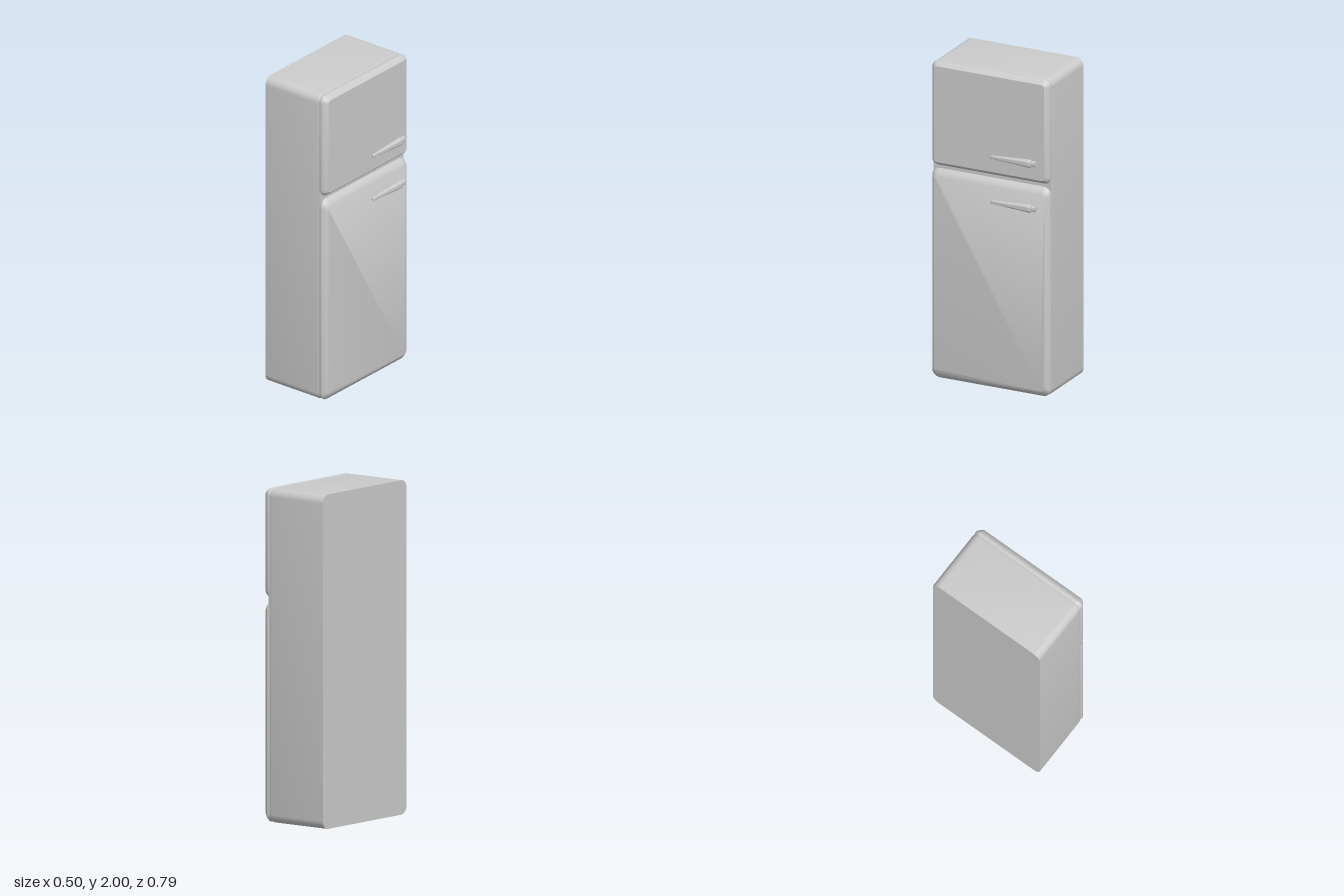
import * as THREE from 'three';
import { toCreasedNormals } from 'three/addons/utils/BufferGeometryUtils.js';

const material = new THREE.MeshStandardMaterial({ color: 0xcccccc });
const HALF_WIDTH = 0.394;

// Rounded rectangle facing +x, counter-clockwise seen from the front
function roundedRing(x, y0, y1, radius, insetZ, insetY) {
  const r = Math.max(radius - insetZ, 0.012);
  const w = HALF_WIDTH - insetZ;
  const bottom = y0 + insetY, top = y1 - insetY;
  const corners = [[w - r, bottom + r, -0.5], [w - r, top - r, 0], [-w + r, top - r, 0.5], [-w + r, bottom + r, 1]];
  const ring = [], steps = 6;
  for (const [u, v, start] of corners) {
    for (let i = 0; i <= steps; i++) {
      const a = Math.PI * (start + 0.5 * i / steps);
      ring.push([x, v + r * Math.sin(a), -(u + r * Math.cos(a))]);
    }
  }
  return ring;
}

// Skin a stack of rings from back to front, closing both ends
function loft(rings) {
  const n = rings[0].length;
  const last = (rings.length - 1) * n;
  const positions = rings.flat(2);
  const index = [];
  for (let i = 0; i < rings.length - 1; i++) {
    for (let j = 0; j < n; j++) {
      const k = (j + 1) % n;
      const a = i * n + j, b = i * n + k, c = b + n, d = a + n;
      index.push(a, b, c, a, c, d);
    }
  }
  for (let j = 1; j < n - 1; j++) {
    index.push(0, j + 1, j);
    index.push(last, last + j, last + j + 1);
  }
  const geometry = new THREE.BufferGeometry();
  geometry.setAttribute('position', new THREE.Float32BufferAttribute(positions, 3));
  geometry.setIndex(index);
  return toCreasedNormals(geometry, 0.65);
}

function addMesh(parent, geometry, name) {
  const mesh = new THREE.Mesh(geometry, material);
  mesh.name = name;
  parent.add(mesh);
  return mesh;
}

// Door with a softly bevelled rim; yScale stretches the bevel vertically
function makeDoor(y0, y1, radius, yScale) {
  const profile = [[0.153, 0.005], [0.162, 0.002], [0.172, 0], [0.183, 0.005], [0.196, 0.015], [0.207, 0.027]];
  return loft(profile.map(([x, inset]) => roundedRing(x, y0, y1, radius, inset, inset * yScale)));
}

// Tapered handle lying along z, thick end towards -z
function makeHandle(name) {
  const handle = new THREE.Group();
  handle.name = name;
  const grip = [[0, 0], [0.006, 0], [0.009, 0.005], [0.0095, 0.015], [0.0145, 0.13], [0.02, 0.24], [0.021, 0.262], [0.019, 0.268], [0, 0.268]];
  const cap = [[0, 0.26], [0.0145, 0.26], [0.0145, 0.297], [0, 0.297]];
  for (const [points, part, x] of [[grip, 'grip', 0.2275], [cap, 'endCap', 0.2225]]) {
    let geometry = new THREE.LatheGeometry(points.map(p => new THREE.Vector2(...p)), 16);
    geometry.rotateX(-Math.PI / 2);
    geometry.scale(1, 1.2, 1);
    geometry = toCreasedNormals(geometry, 0.7);
    addMesh(handle, geometry, part).position.set(x, 0, -0.023);
  }
  return handle;
}

export function createModel() {
  const fridge = new THREE.Group();
  fridge.name = 'refrigerator';

  // Cabinet, with a flat back and a shallow step where the doors begin
  const body = [[-0.25, 0], [0.135, 0], [0.148, 0.002], [0.155, 0.004], [0.166, 0.004]];
  addMesh(fridge, loft(body.map(([x, inset]) => roundedRing(x, 0, 2, 0.05, inset, inset))), 'cabinet');

  // Freezer door above, main door below
  addMesh(fridge, makeDoor(1.342, 2, 0.045, 1), 'upperDoor');
  addMesh(fridge, makeDoor(0.002, 1.322, 0.05, 1.6), 'lowerDoor');

  // One handle on each door, either side of the gap
  for (const [name, y] of [['upperHandle', 1.473], ['lowerHandle', 1.19]]) {
    const handle = makeHandle(name);
    handle.position.y = y;
    fridge.add(handle);
  }
  return fridge;
}
